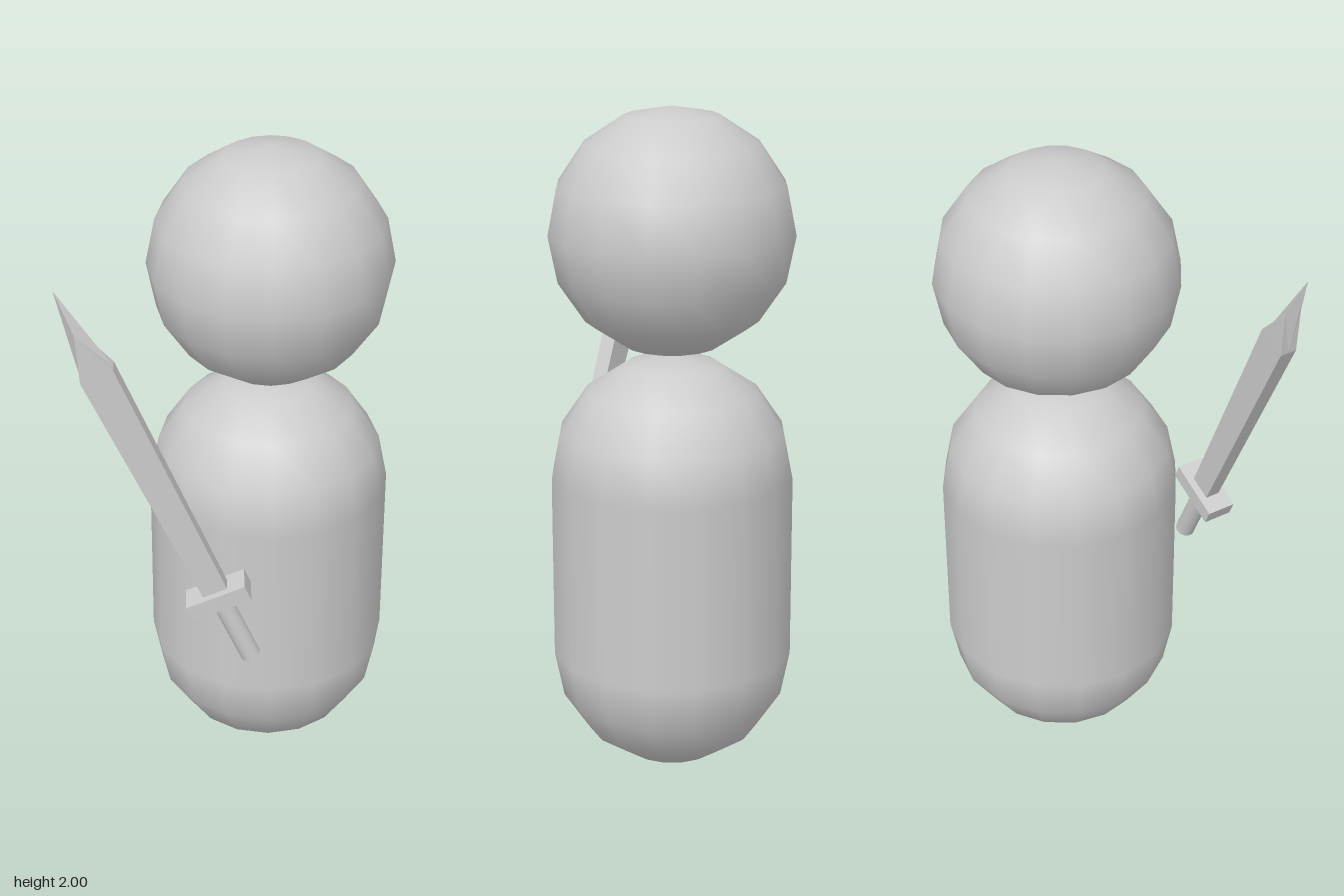
import * as THREE from 'three';

const material = new THREE.MeshStandardMaterial({ color: 0xcccccc });

function addPart(parent, name, geometry, x = 0, y = 0, z = 0) {
  const mesh = new THREE.Mesh(geometry, material);
  mesh.name = name;
  mesh.position.set(x, y, z);
  parent.add(mesh);
  return mesh;
}

// Blade: one quarter is defined, then mirrored across its width and thickness.
function bladeGeometry() {
  const base = 0.02, shoulder = 0.82, ridge = 0.96, tip = 1.096;
  const w0 = 0.038, w1 = 0.05, d0 = 0.023, d1 = 0.027;
  const F0 = [0, base, d0], F1 = [0, shoulder, d1], P = [0, ridge, d1], T = [0, tip, 0];
  const A = [w0, base, d0], B = [w1, shoulder, d1];
  const A0 = [w0, base, 0], B0 = [w1, shoulder, 0];
  const triangles = [
    [F0, A, B], [F0, B, F1], [F1, B, P], // flat face
    [A, A0, B0], [A, B0, B],             // side
    [P, B, B0], [P, B0, T],              // bevelled point
  ];
  const positions = [];
  for (const sx of [1, -1]) {
    for (const sz of [1, -1]) {
      for (const [a, b, c] of triangles) {
        const corners = sx * sz > 0 ? [a, b, c] : [a, c, b];
        for (const [x, y, z] of corners) positions.push(x * sx, y, z * sz);
      }
    }
  }
  const geometry = new THREE.BufferGeometry();
  geometry.setAttribute('position', new THREE.Float32BufferAttribute(positions, 3));
  geometry.computeVertexNormals();
  return geometry;
}

export function createModel() {
  const model = new THREE.Group();
  model.name = 'figureWithSword';

  // Figure: capsule body with a ball head resting on it
  const radius = 0.361;
  addPart(model, 'body', new THREE.CapsuleGeometry(radius, 0.55, 4, 16), 0.12, 0.636, -0.06);
  addPart(model, 'head', new THREE.SphereGeometry(radius, 16, 8), 0.12, 1.639, -0.06);

  // Sword: built upright around the guard, then leaned over
  const sword = new THREE.Group();
  sword.name = 'sword';
  sword.position.set(-0.036, 0.772, 0.375);
  sword.rotation.z = THREE.MathUtils.degToRad(23.8);
  addPart(sword, 'blade', bladeGeometry());
  addPart(sword, 'guard', new THREE.BoxGeometry(0.186, 0.05, 0.092));
  addPart(sword, 'handle', new THREE.CylinderGeometry(0.03, 0.03, 0.236, 24), 0, -0.118, 0);
  model.add(sword);

  return model;
}
